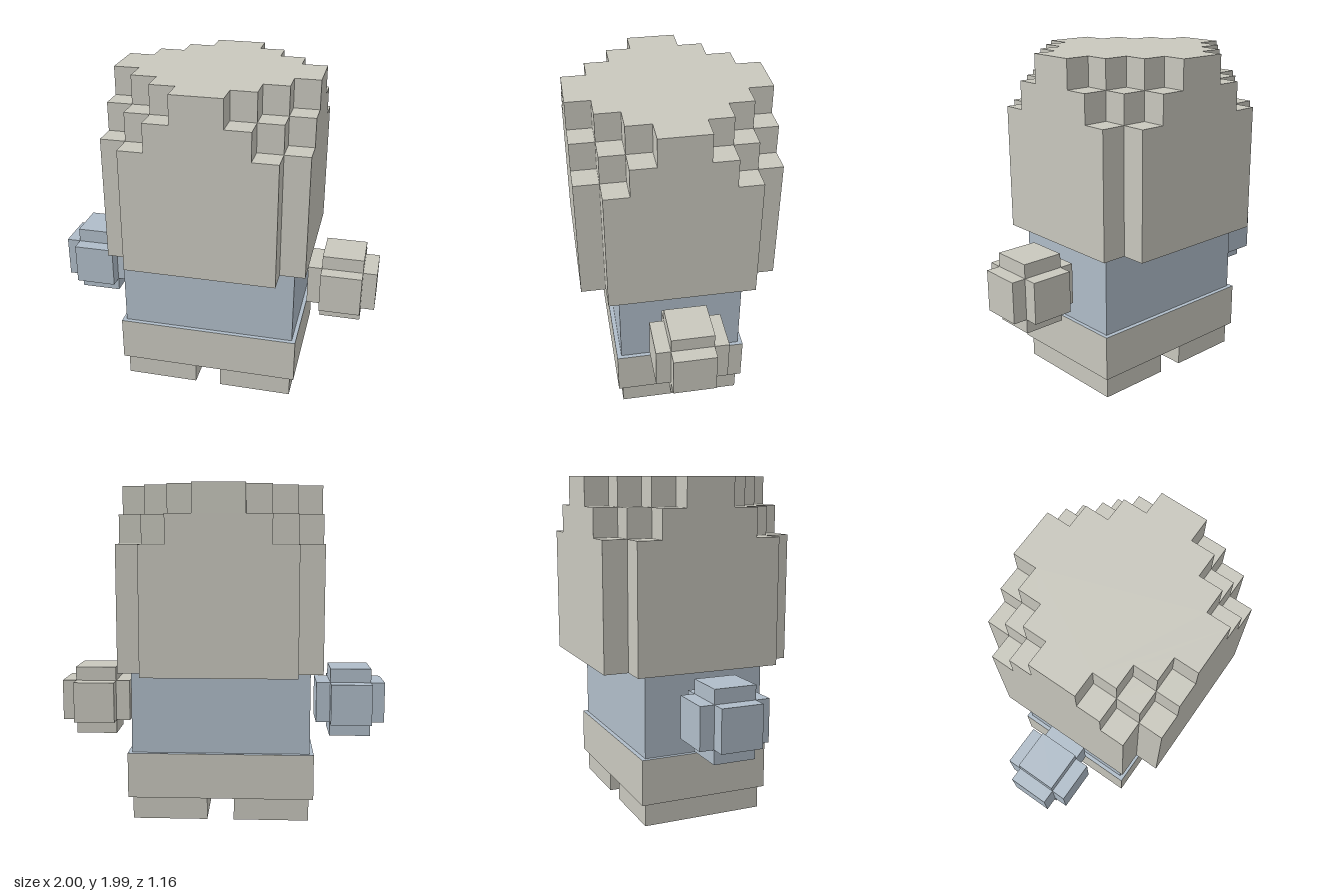
import * as THREE from 'three';

const stone = new THREE.MeshStandardMaterial({ color: 0xc9c8be });
stone.name = 'warm grey';
const blue = new THREE.MeshStandardMaterial({ color: 0xb0bdc9 });
blue.name = 'pale blue';

// Box given by its minimum and maximum corners
function box(name, material, [x0, y0, z0], [x1, y1, z1]) {
  const mesh = new THREE.Mesh(new THREE.BoxGeometry(x1 - x0, y1 - y0, z1 - z0), material);
  mesh.position.set((x0 + x1) / 2, (y0 + y1) / 2, (z0 + z1) / 2);
  mesh.name = name;
  return mesh;
}

// Head layer: a rectangle whose four corners are cut into square steps
function headLayer(name, steps, y0, y1) {
  const sx = 0.15, sz = 0.145, n = 4;
  const quarter = [];
  for (let i = 0; i <= steps; i++) {
    const x = (n - i) * sx;
    quarter.push([x, (n - steps + i) * sz]);
    if (i < steps) quarter.push([x - sx, (n - steps + i) * sz]);
  }
  const back = [...quarter].reverse();
  const outline = [
    ...quarter,
    ...back.map(([x, z]) => [-x, z]),
    ...quarter.map(([x, z]) => [-x, -z]),
    ...back.map(([x, z]) => [x, -z]),
  ];
  const shape = new THREE.Shape(outline.map(([x, z]) => new THREE.Vector2(x, z)));
  const geometry = new THREE.ExtrudeGeometry(shape, { depth: y1 - y0, bevelEnabled: false });
  geometry.rotateX(-Math.PI / 2);
  const mesh = new THREE.Mesh(geometry, stone);
  mesh.position.y = y0;
  mesh.name = name;
  return mesh;
}

// Hand: three crossing blocks, one along each axis
function hand(name, material, side) {
  const group = new THREE.Group();
  group.name = name;
  ['x', 'y', 'z'].forEach((axis) => {
    const size = { x: 0.25, y: 0.25, z: 0.25 };
    size[axis] = 0.42;
    const mesh = new THREE.Mesh(new THREE.BoxGeometry(size.x, size.y, size.z), material);
    mesh.name = name + 'Block' + axis.toUpperCase();
    group.add(mesh);
  });
  group.position.set(side * 0.79, 0.675, 0);
  return group;
}

export function createModel() {
  const model = new THREE.Group();
  model.name = 'blockFigure';

  // Legs
  model.add(box('leftLeg', stone, [0.08, 0, -0.368], [0.527, 0.138, 0.368]));
  model.add(box('rightLeg', stone, [-0.527, 0, -0.368], [-0.08, 0.138, 0.368]));

  // Hips with a blue upper face, and the torso
  const hips = [stone, stone, blue, stone, stone, stone];
  model.add(box('hips', hips, [-0.554, 0.138, -0.395], [0.554, 0.41, 0.395]));
  model.add(box('torso', blue, [-0.53, 0.41, -0.368], [0.53, 0.9, 0.368]));

  // Hands
  model.add(hand('leftHand', stone, 1), hand('rightHand', blue, -1));

  // Head, more deeply stepped towards the crown
  const head = new THREE.Group();
  head.name = 'head';
  head.add(headLayer('headBase', 1, 0.9, 1.65));
  head.add(headLayer('headMiddle', 2, 1.65, 1.82));
  head.add(headLayer('headCrown', 3, 1.82, 1.99));
  model.add(head);

  return model;
}
